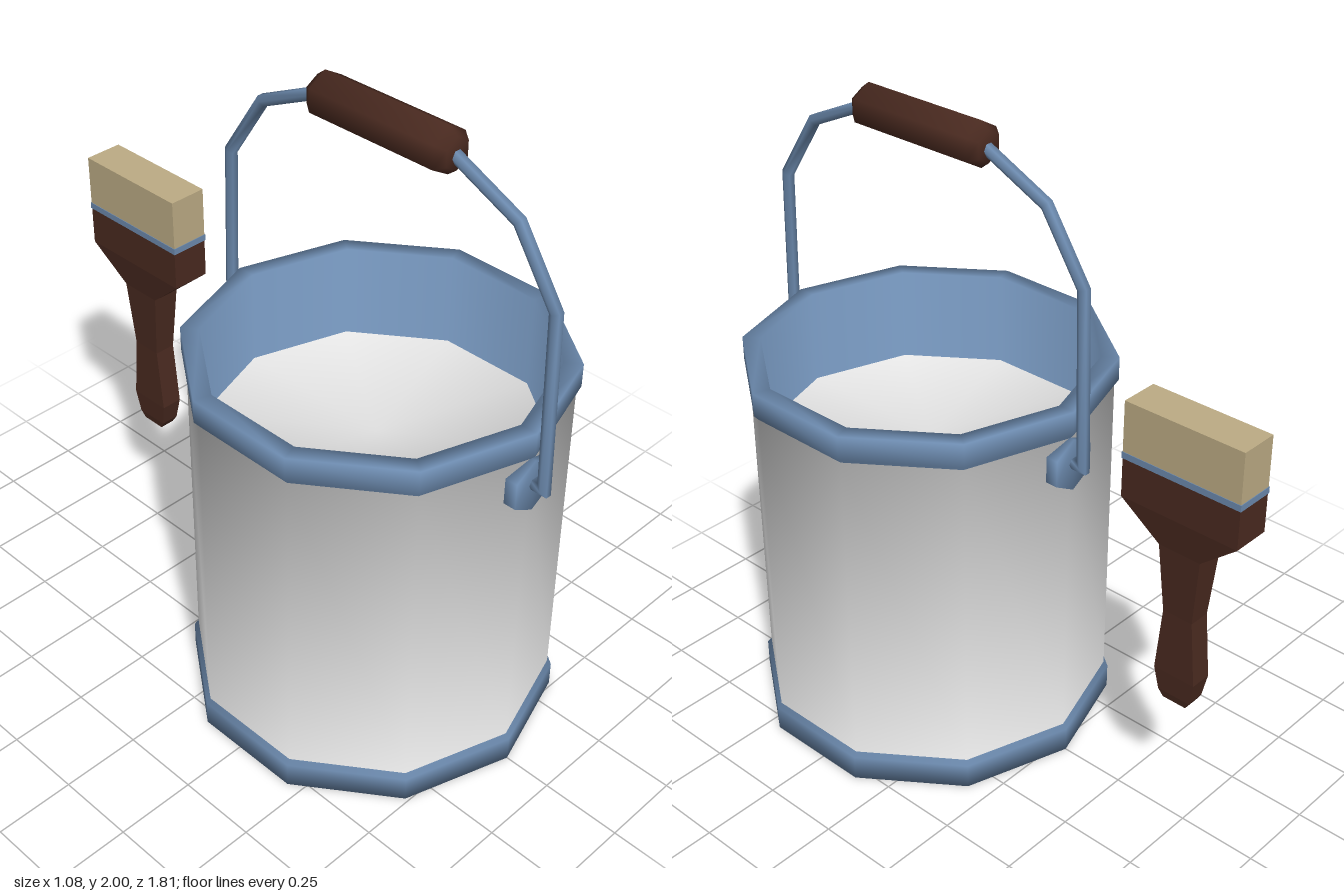
import * as THREE from 'three';

const mat = (name, color) => Object.assign(new THREE.MeshStandardMaterial({ color }), { name });
const V = (x, y, z) => new THREE.Vector3(x, y, z);

// Six points around a centre, spread along two directions
const hexRing = (centre, r, u, v) => Array.from({ length: 6 }, (_, k) => {
  const a = k * Math.PI / 3;
  return centre.clone().addScaledVector(u, r * Math.cos(a)).addScaledVector(v, r * Math.sin(a));
});

// Skins rings of points, ordered counter-clockwise about the path, and caps both ends
function loft(rings, flat) {
  const n = rings[0].length, last = (rings.length - 1) * n, index = [];
  for (let i = 0; i < last; i += n)
    for (let j = 0; j < n; j++) {
      const a = i + j, b = i + (j + 1) % n;
      index.push(a, b, b + n, a, b + n, a + n);
    }
  for (let j = 1; j < n - 1; j++) {
    index.push(0, j + 1, j);
    index.push(last, last + j, last + j + 1);
  }
  let geo = new THREE.BufferGeometry().setFromPoints(rings.flat());
  geo.setIndex(index);
  if (flat) geo = geo.toNonIndexed();
  geo.computeVertexNormals();
  return geo;
}

// Lathe whose normals blend neighbouring profile faces equally; a doubled point keeps its edge sharp
function softLathe(profile, sides) {
  const pts = profile.map(p => new THREE.Vector2(...p));
  const geo = new THREE.LatheGeometry(pts, sides);
  const faces = pts.slice(1).map((p, j) => {
    const d = p.clone().sub(pts[j]).normalize();
    return new THREE.Vector2(d.y, -d.x);
  });
  const soft = pts.map((_, j) => (faces[j - 1] || faces[j]).clone().add(faces[j] || faces[j - 1]).normalize());
  const normal = geo.attributes.normal;
  for (let i = 0; i < normal.count; i++) {
    const a = Math.floor(i / pts.length) * 2 * Math.PI / sides, n = soft[i % pts.length];
    normal.setXYZ(i, n.x * Math.sin(a), n.y, n.x * Math.cos(a));
  }
  return geo;
}

export function createModel() {
  const blue = mat('blueMetal', 0x6c8aae);
  const white = mat('whitePaint', 0xe2e2e2);
  const brown = mat('brownWood', 0x4a2a20);
  const tan = mat('tanBristle', 0xbdac85);

  const model = new THREE.Group();
  model.name = 'paintBucketAndBrush';
  const add = (parent, name, geo, material, y = 0) => {
    const mesh = new THREE.Mesh(geo, material);
    mesh.name = name;
    mesh.position.y = y;
    parent.add(mesh);
  };

  const bucket = new THREE.Group();
  bucket.name = 'bucket';
  bucket.position.z = 0.28;
  model.add(bucket);

  // Ten-sided can: recessed base, lower rim, wall, upper rim, inner wall and paint surface
  const profile = [[0, 0.04], [0.512, 0.04], [0.512, 0.04], [0.512, 0], [0.567, 0], [0.567, 0.08],
    [0.554, 0.095], [0.554, 1.14], [0.567, 1.155], [0.567, 1.23], [0.512, 1.23], [0.512, 0.93], [0, 0.93]];
  const sides = 10, spans = profile.length - 1, wallSpan = 6, paintSpan = spans - 1;
  const can = softLathe(profile, sides);
  for (let i = 0; i < sides; i++)
    for (let j = 0; j < spans; j++)
      can.addGroup((i * spans + j) * 6, 6, j === wallSpan || j === paintSpan ? 1 : 0);
  add(bucket, 'can', can, [blue, white]);

  // Hexagonal pivots on the front and back, seated in the wall
  const xAxis = V(1, 0, 0), yAxis = V(0, 1, 0);
  for (const [name, z0, z1] of [['frontPivot', 0.522, 0.57], ['backPivot', -0.57, -0.522]])
    add(bucket, name, loft([z0, z1].map(z => hexRing(V(0, 0, z), 0.084, yAxis, V(-1, 0, 0)))), blue, 1.058);

  // Bent wire handle, mitred at each bend
  const half = [[0.56, 1.065], [0.605, 1.065], [0.59, 1.62], [0.455, 1.825], [0.24, 1.925]];
  const path = [...half, ...half.map(([z, y]) => [-z, y]).reverse()].map(([z, y]) => V(0, y, z));
  const wireRings = path.map((p, i) => {
    const before = p.clone().sub(path[Math.max(i - 1, 0)]).normalize();
    const after = path[Math.min(i + 1, path.length - 1)].clone().sub(p).normalize();
    const dir = before.clone().add(after).normalize();
    const stretch = 1 / Math.max(dir.dot(after), dir.dot(before));
    return hexRing(p, 0.019, xAxis, dir.clone().cross(xAxis).multiplyScalar(stretch));
  });
  add(bucket, 'wireHandle', loft(wireRings), blue);

  // Six-sided grip with bevelled ends
  const grip = [[0, -0.245], [0.047, -0.245], [0.069, -0.217], [0.069, 0.217], [0.047, 0.245], [0, 0.245]];
  add(bucket, 'grip', softLathe(grip, 6).rotateX(Math.PI / 2), brown, 1.931);

  // Upright brush behind the bucket
  const brush = new THREE.Group();
  brush.name = 'brush';
  brush.position.z = -0.708;
  model.add(brush);
  add(brush, 'bristles', new THREE.BoxGeometry(0.122, 0.16, 0.393), tan, 1.302);
  add(brush, 'ferrule', new THREE.BoxGeometry(0.126, 0.02, 0.397), blue, 1.213);

  // Handle sections: height, half thickness, half width
  const sections = [[0.44, 0.025, 0.04], [0.465, 0.03, 0.055], [0.54, 0.035, 0.07], [0.75, 0.035, 0.05],
    [0.97, 0.045, 0.07], [1.08, 0.061, 0.196], [1.205, 0.061, 0.196]];
  add(brush, 'brushHandle', loft(sections.map(([y, x, z]) =>
    [V(-x, y, z), V(x, y, z), V(x, y, -z), V(-x, y, -z)]), true), brown);

  return model;
}
